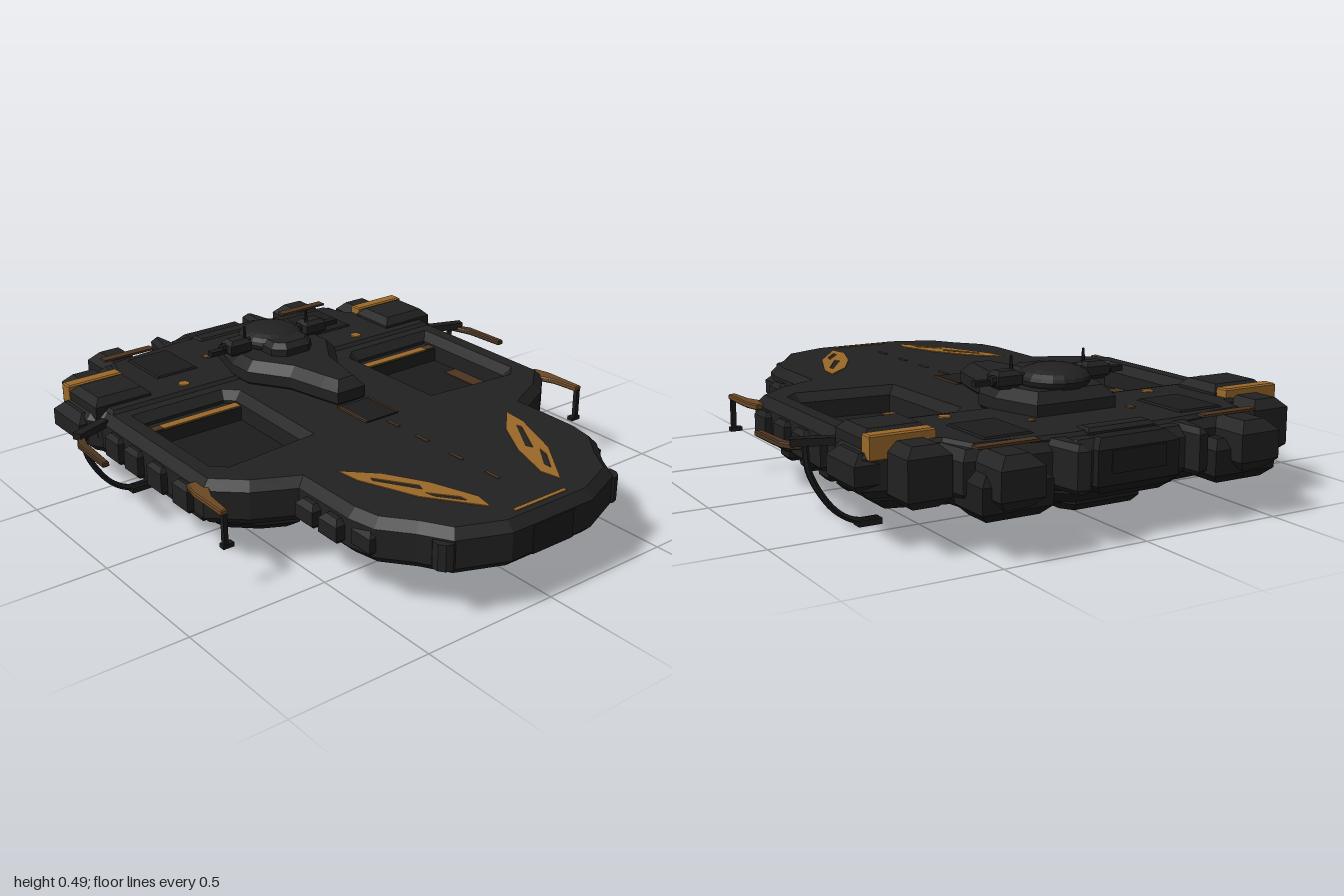
import * as THREE from 'three';

export function createModel() {
  const ship = new THREE.Group();
  ship.name = 'ship';
  const mat = (name, color) => {
    const m = new THREE.MeshStandardMaterial({ color, flatShading: true, side: THREE.DoubleSide });
    m.name = name;
    return m;
  };
  const hull = mat('hull black', 0x212121);
  const dark = mat('trim black', 0x1c1c1c);
  const gold = mat('gold', 0x9a692a);
  const bronze = mat('bronze', 0x6b4822);
  const brown = mat('worn bronze', 0x4c3420);

  const add = (name, geo, m, x = 0, y = 0, z = 0) => {
    const mesh = new THREE.Mesh(geo, m);
    mesh.name = name;
    mesh.position.set(x, y, z);
    ship.add(mesh);
    return mesh;
  };
  const box = (name, m, x, y, z, w, h, d) => add(name, new THREE.BoxGeometry(w, h, d), m, x, y, z);
  // Plan outlines are [x, z]; half outlines run along +x and are mirrored
  const mirror = pts => [...pts, ...pts.slice().reverse().map(([x, z]) => [-x, z])];
  const flip = (pts, s) => pts.map(([x, z]) => [x * s, z]);
  const vecs = pts => pts.map(([x, z]) => new THREE.Vector2(x, -z));
  // Chamfered slab from a plan outline, between heights y0 and y1
  const slab = (name, m, pts, y0, y1, size, thick = size, holes = []) => {
    const shape = new THREE.Shape(vecs(pts));
    holes.forEach(h => shape.holes.push(new THREE.Path(vecs(h))));
    const geo = new THREE.ExtrudeGeometry(shape, {
      depth: y1 - y0 - 2 * thick, bevelEnabled: size > 0, bevelSize: size,
      bevelThickness: thick, bevelOffset: -size, bevelSegments: 1,
    });
    geo.rotateX(-Math.PI / 2);
    return add(name, geo, m, 0, y0 + thick, 0);
  };
  // Chamfered block given by its centre in plan
  const block = (name, m, x, z, w, d, y0, y1, bevel) => slab(name, m,
    [[x - w / 2, z - d / 2], [x + w / 2, z - d / 2], [x + w / 2, z + d / 2], [x - w / 2, z + d / 2]], y0, y1, bevel);

  // Main hull: one continuous deck over separate nose and body bellies
  const nose = [[0.17, 0.99], [0.34, 0.92], [0.40, 0.82], [0.48, 0.72], [0.5, 0.62], [0.5, 0.37]];
  const body = [[0.64, 0.3], [0.75, 0.2], [0.75, -0.45], [0.78, -0.5], [0.78, -0.68], [0.57, -0.74],
    [0.55, -0.86], [0.25, -0.88], [0.2, -0.93]];
  const bay = [[0.28, -0.32], [0.31, -0.35], [0.64, -0.35], [0.64, 0.1], [0.61, 0.13], [0.29, 0.1]];
  slab('mainDeck', hull, mirror([...nose, ...body]), 0.16, 0.316, 0.03, 0.03, [bay, flip(bay, -1)]);
  slab('noseBelly', dark, mirror([...nose, [0.45, 0.1]].map(([x, z]) => [x * 0.88, z * 0.94])), 0.125, 0.2, 0.03, 0.02);
  slab('lowerHull', dark, mirror([[0.4, 0.26], [0.52, 0.36], ...body].map(([x, z]) => [x * 0.93, z * 0.96])),
    0.11, 0.225, 0.05, 0.04);
  slab('rearDeck', hull, mirror([[0.72, -0.42], [0.73, -0.68], [0.54, -0.72], [0.5, -0.83], [0.2, -0.86]]),
    0.29, 0.328, 0.012);

  // Keel and belly
  slab('bellyStep', dark, mirror([[0.2, 0.27], [0.32, 0.15], [0.34, -0.7], [0.25, -0.8]]), 0.09, 0.15, 0.03, 0.02);
  slab('keel', dark, mirror([[0.12, 0.29], [0.16, 0.22], [0.16, -0.74], [0.12, -0.8]]), 0.06, 0.13, 0.025);

  // Deck centre: ramp, gun tongue and gun head
  box('rampPanel', dark, 0, 0.317, 0.09, 0.14, 0.008, 0.16);
  slab('gunTongue', hull, mirror([[0.06, -0.0], [0.08, -0.08], [0.11, -0.22], [0.2, -0.36], [0.2, -0.46],
    [0.15, -0.63]]), 0.29, 0.4, 0.035, 0.035);
  const head = add('gunHead', new THREE.SphereGeometry(1, 20, 12), hull, 0, 0.42, -0.495);
  head.scale.set(0.12, 0.048, 0.125);
  slab('headVisor', hull, mirror([[0.05, -0.32], [0.09, -0.36], [0.09, -0.46]]), 0.38, 0.445, 0.02, 0.02);
  const axle = add('gunAxle', new THREE.CylinderGeometry(0.018, 0.018, 0.46, 8), dark, 0, 0.425, -0.48);
  axle.rotation.z = Math.PI / 2;

  // Rear centre frame and nose front
  block('sternFrame', dark, 0, -0.9, 0.3, 0.11, 0.15, 0.32, 0.03);
  block('sternLip', hull, 0, -0.83, 0.25, 0.07, 0.3, 0.335, 0.012);
  box('sternRecess', dark, 0, 0.25, -0.954, 0.2, 0.07, 0.008);
  box('noseFrontPlate', dark, 0, 0.235, 0.99, 0.17, 0.1, 0.008);
  box('noseStrip', gold, 0, 0.316, 0.93, 0.22, 0.006, 0.014);
  for (const z of [0.23, 0.38, 0.55, 0.72]) box('centreDash', brown, 0, 0.316, z, 0.012, 0.005, 0.06);

  const leaf = [[0.37, 0.4], [0.36, 0.49], [0.28, 0.69], [0.15, 0.87], [0.135, 0.8], [0.19, 0.64], [0.27, 0.5]];
  const slits = [[[0.32, 0.5], [0.325, 0.52], [0.24, 0.66], [0.23, 0.635]],
    [[0.25, 0.68], [0.24, 0.72], [0.18, 0.8], [0.18, 0.77]]];
  for (const s of [1, -1]) {
    // Painted leaf marks on the nose
    slab('noseMark', gold, flip(leaf, s), 0.312, 0.319, 0, 0, slits.map(h => flip(h, s)));

    // Bay details: ledge with painted top, floor patches
    box('bayLedge', hull, s * 0.46, 0.25, -0.325, 0.38, 0.05, 0.085);
    box('bayStrip', gold, s * 0.43, 0.277, -0.305, 0.33, 0.006, 0.034);
    box('bayStripEnd', brown, s * 0.62, 0.277, -0.305, 0.05, 0.006, 0.034);
    box('bayOuterPatch', brown, s * 0.615, 0.226, -0.07, 0.06, 0.006, 0.18);
    slab('bayInnerPatch', bronze, flip([[0.265, 0.0], [0.3, -0.01], [0.34, 0.04], [0.33, 0.08], [0.265, 0.075]], s),
      0.224, 0.23, 0);

    // Deck panels and marks
    block('deckPanel', dark, s * 0.36, -0.69, 0.17, 0.22, 0.318, 0.334, 0.005);
    const dot = add('deckDot', new THREE.CylinderGeometry(0.022, 0.022, 0.008, 6), gold, s * 0.395, 0.329, -0.48);
    dot.rotation.y = 0.3;
    box('rearStrip', brown, s * 0.41, 0.328, -0.865, 0.21, 0.008, 0.035);
    box('tongueMark', bronze, s * 0.19, 0.329, -0.655, 0.02, 0.006, 0.03);
    box('rampEdge', brown, s * 0.067, 0.319, 0.09, 0.008, 0.008, 0.16);

    // Shoulder pods with gold bands
    block('shoulderPod', hull, s * 0.65, -0.56, 0.22, 0.19, 0.2, 0.362, 0.025);
    block('shoulderBand', gold, s * 0.657, -0.677, 0.215, 0.05, 0.28, 0.358, 0.005);
    block('rearNozzle', hull, s * 0.635, -0.75, 0.145, 0.15, 0.15, 0.335, 0.03);
    block('sidePod', hull, s * 0.755, -0.6, 0.11, 0.19, 0.18, 0.3, 0.03);

    // Stern engines
    block('sternEngine', hull, s * 0.435, -0.91, 0.15, 0.18, 0.16, 0.32, 0.035);
    block('sternEngineLow', dark, s * 0.42, -0.87, 0.24, 0.16, 0.12, 0.26, 0.03);
    slab('sternBrace', hull, flip([[0.18, -0.82], [0.27, -0.82], [0.24, -0.98], [0.2, -0.99]], s), 0.17, 0.32, 0.018);

    // Side armour blocks
    for (const z of [-0.34, -0.21, -0.06, 0.1]) {
      block('sideBlock', hull, s * 0.745, z, 0.06, 0.09, 0.18, 0.28, 0.015);
      block('sideFoot', dark, s * 0.67, z - 0.03, 0.06, 0.07, 0.11, 0.19, 0.015);
    }
    for (const z of [0.44, 0.56, 0.68])
      block('noseBlock', hull, s * (z > 0.6 ? 0.47 : 0.505), z, 0.06, 0.09, 0.19, 0.275, 0.018);
    add('noseRoller', new THREE.CylinderGeometry(0.04, 0.04, 0.09, 10), hull, s * 0.345, 0.235, 0.885);
    for (const x of [0.24, 0.45]) block('bellyFoot', dark, s * x, 0.2, 0.05, 0.06, 0.1, 0.15, 0.01);
    box('bellyRail', hull, s * 0.25, 0.088, -0.25, 0.02, 0.012, 0.75);

    // Gun barrels and aerials
    block('gunBracket', hull, s * 0.17, -0.47, 0.09, 0.07, 0.395, 0.455, 0.015);
    box('gunTip', dark, s * 0.255, 0.42, -0.47, 0.06, 0.018, 0.025);
    add('gunAerial', new THREE.CylinderGeometry(0.004, 0.008, 0.07, 6), dark, s * 0.14, 0.462, -0.46);

    // Rear outrigger: strut, swept blade and curved hook
    const strut = box('rearStrut', dark, s * 0.81, 0.29, -0.415, 0.14, 0.025, 0.035);
    strut.rotation.y = -s * 0.35;
    slab('rearBlade', brown, flip([[0.84, -0.41], [0.87, -0.4], [0.895, -0.35], [0.9, -0.17], [0.875, -0.17],
      [0.865, -0.33]], s), 0.265, 0.285, 0.004);
    const hook = new THREE.CatmullRomCurve3([[0.84, 0.28], [0.83, 0.2], [0.79, 0.12], [0.74, 0.06], [0.68, 0.025],
      [0.6, 0.018]].map(([x, y]) => new THREE.Vector3(s * x, y, -0.42)));
    add('rearHook', new THREE.TubeGeometry(hook, 20, 0.011, 6), dark);
    box('hookFoot', dark, s * 0.635, 0.015, -0.42, 0.08, 0.02, 0.04);

    // Front outrigger with hanging post
    slab('frontBlade', bronze, flip([[0.7, 0.14], [0.77, 0.14], [0.785, 0.2], [0.785, 0.36], [0.76, 0.36],
      [0.75, 0.26]], s), 0.275, 0.295, 0.004);
    box('frontPost', dark, s * 0.772, 0.225, 0.355, 0.016, 0.11, 0.016);
    box('frontPostFoot', dark, s * 0.765, 0.17, 0.355, 0.04, 0.014, 0.024);
  }
  return ship;
}
